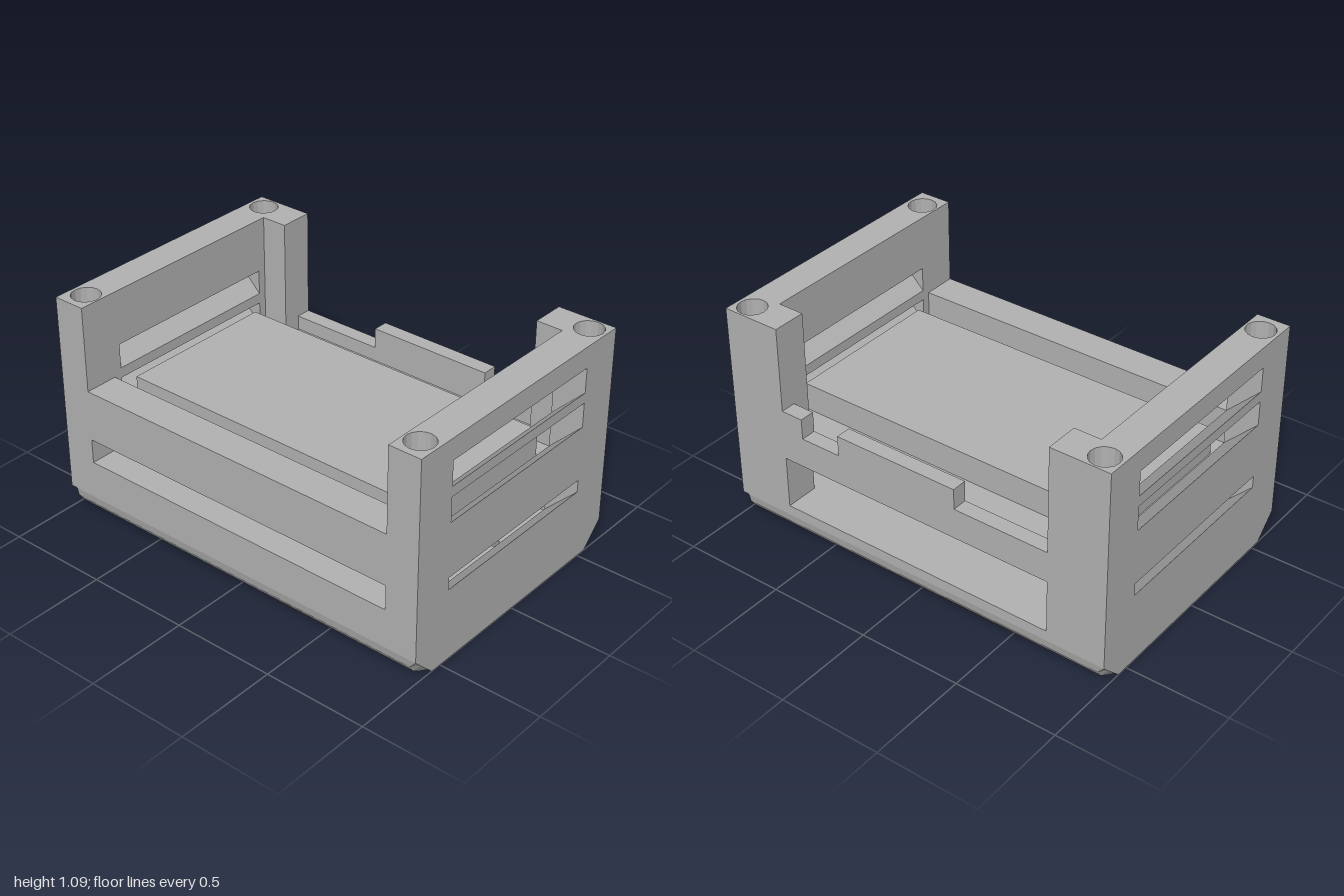
import * as THREE from 'three';

export function createModel() {
  const model = new THREE.Group();
  const grey = new THREE.MeshStandardMaterial({ color: 0xb2b2b2 });
  grey.name = 'plain grey';

  const add = (name, geometry) => {
    const mesh = new THREE.Mesh(geometry, grey);
    mesh.name = name;
    model.add(mesh);
    return mesh;
  };
  const box = (name, x0, x1, y0, y1, z0, z1) =>
    add(name, new THREE.BoxGeometry(x1 - x0, y1 - y0, z1 - z0)
      .translate((x0 + x1) / 2, (y0 + y1) / 2, (z0 + z1) / 2));
  const poly = (pts) => new THREE.Shape(pts.map(([x, y]) => new THREE.Vector2(x, y)));
  const extrude = (shape, depth) =>
    new THREE.ExtrudeGeometry(shape, { depth, bevelEnabled: false, curveSegments: 8 });
  // Shape drawn in (x, -z), raised from y0 to y1
  const slab = (name, shape, y0, y1) =>
    add(name, extrude(shape, y1 - y0).rotateX(-Math.PI / 2).translate(0, y0, 0));
  const rect = (x0, x1, z0, z1) => poly([[x0, -z1], [x1, -z1], [x1, -z0], [x0, -z0]]);

  // Polygon with rounded corners, points given as [x, z]
  function rounded(points, r) {
    const p = points.map(([x, z]) => new THREE.Vector2(x, -z));
    const path = new THREE.Path();
    p.forEach((c, i) => {
      const prev = p[(i + p.length - 1) % p.length], next = p[(i + 1) % p.length];
      const a = c.clone().add(prev.clone().sub(c).setLength(r));
      const b = c.clone().add(next.clone().sub(c).setLength(r));
      if (i === 0) path.moveTo(a.x, a.y); else path.lineTo(a.x, a.y);
      path.quadraticCurveTo(c.x, c.y, b.x, b.y);
    });
    path.closePath();
    return path;
  }

  const X = 1, Z = 0.665, IN = 0.84, TOP = 1.085, FLOOR = 0.16, R = 0.11, ZR = Z - R;

  // Floor with vent cut-outs
  const floor = rect(-X, X, -ZR, ZR);
  floor.holes.push(rounded([[-0.2, -0.36], [0.2, -0.36], [0.2, 0.05], [-0.2, 0.05]], 0.09));
  for (const s of [-1, 1]) {
    floor.holes.push(rounded([[s * 0.86, -0.155], [s * 0.43, 0.06], [s * 0.43, -0.37]], 0.11));
  }
  const slot = new THREE.Path();
  slot.absarc(0.735, -0.235, 0.063, -Math.PI / 2, Math.PI / 2);
  slot.absarc(-0.735, -0.235, 0.063, Math.PI / 2, Math.PI * 1.5);
  slot.closePath();
  floor.holes.push(slot);
  slab('floor', floor, 0, FLOOR);

  // Rounded lower edges, flattening to a straight chamfer at both ends
  function railGeometry() {
    const steps = 4;
    const ring = (x, round) => {
      const pts = [[ZR, FLOOR]];
      for (let i = 0; i <= steps; i++) {
        const t = i / steps, a = t * Math.PI / 2;
        pts.push(round ? [ZR + R * Math.sin(a), R - R * Math.cos(a)] : [ZR + R * t, R * t]);
      }
      pts.push([Z, FLOOR]);
      return pts.map(([z, y]) => [x, y, z]);
    };
    const rings = [ring(-X, false), ring(-0.965, true), ring(0.965, true), ring(X, false)];
    const n = rings[0].length, pos = [];
    const tri = (...v) => v.forEach((q) => pos.push(...q));
    for (let k = 0; k < 3; k++) {
      for (let i = 0; i < n; i++) {
        const j = (i + 1) % n;
        const a = rings[k][i], b = rings[k][j], c = rings[k + 1][j], d = rings[k + 1][i];
        tri(a, d, c);
        tri(a, c, b);
      }
    }
    for (let i = 1; i < n - 1; i++) {
      tri(rings[0][0], rings[0][i], rings[0][i + 1]);
      tri(rings[3][0], rings[3][i + 1], rings[3][i]);
    }
    const g = new THREE.BufferGeometry();
    g.setAttribute('position', new THREE.Float32BufferAttribute(pos, 3));
    g.computeVertexNormals();
    return g;
  }
  add('frontLowerEdge', railGeometry());
  add('backLowerEdge', railGeometry().rotateY(Math.PI));

  // Side walls: sloping louvre bars between solid corners with screw holes
  const bars = [
    [FLOOR, 0.36, FLOOR, 0.2], [0.42, 0.69, 0.26, 0.53],
    [0.81, 0.86, 0.65, 0.7], [0.98, TOP, 0.82, TOP],
  ];
  const ZS = 0.46, HOLE = 0.65;
  for (const s of [-1, 1]) {
    const side = s > 0 ? 'left' : 'right';
    for (const [o0, o1, i0, i1] of bars) {
      const shape = poly([[s * X, o0], [s * X, o1], [s * IN, i1], [s * IN, i0]]);
      add(side + 'WallBar', extrude(shape, ZS * 2).translate(0, 0, -ZS));
    }
    const x0 = s > 0 ? IN : -X, x1 = s > 0 ? X : -IN;
    for (const [z0, z1, hz] of [[ZS, Z, 0.565], [-Z, -ZS, -0.588]]) {
      const end = hz > 0 ? 'Front' : 'Back';
      box(side + end + 'CornerBase', x0, x1, FLOOR, HOLE, z0, z1);
      const corner = rect(x0, x1, z0, z1);
      const hole = new THREE.Path();
      hole.absarc(s * 0.917, -hz, 0.068, 0, Math.PI * 2);
      corner.holes.push(hole);
      slab(side + end + 'ScrewCorner', corner, HOLE, TOP);
    }
    // Inner back posts
    box(side + 'BackPost', s > 0 ? 0.71 : -IN, s > 0 ? IN : -0.71, FLOOR, TOP, -Z, -0.5);
  }

  // Front wall, split by a long opening
  box('frontWallLower', -IN, IN, FLOOR, 0.3, 0.5, Z);
  box('frontWallUpper', -IN, IN, 0.42, 0.67, 0.5, Z);

  // Back wall above its window, with a notched top
  const back = poly([
    [-0.71, 0.42], [0.71, 0.42], [0.71, 0.67], [0.6, 0.67], [0.6, 0.57], [0.395, 0.57],
    [0.395, 0.67], [-0.235, 0.67], [-0.235, 0.57], [-0.71, 0.57],
  ]);
  add('backWall', extrude(back, 0.075).translate(0, 0, -Z));

  // Inner shelf and raised plate
  box('shelf', -IN, IN, 0.42, 0.5, -0.59, 0.5);
  box('raisedPlate', -0.815, 0.815, 0.5, 0.635, -0.4, 0.393);

  return model;
}
